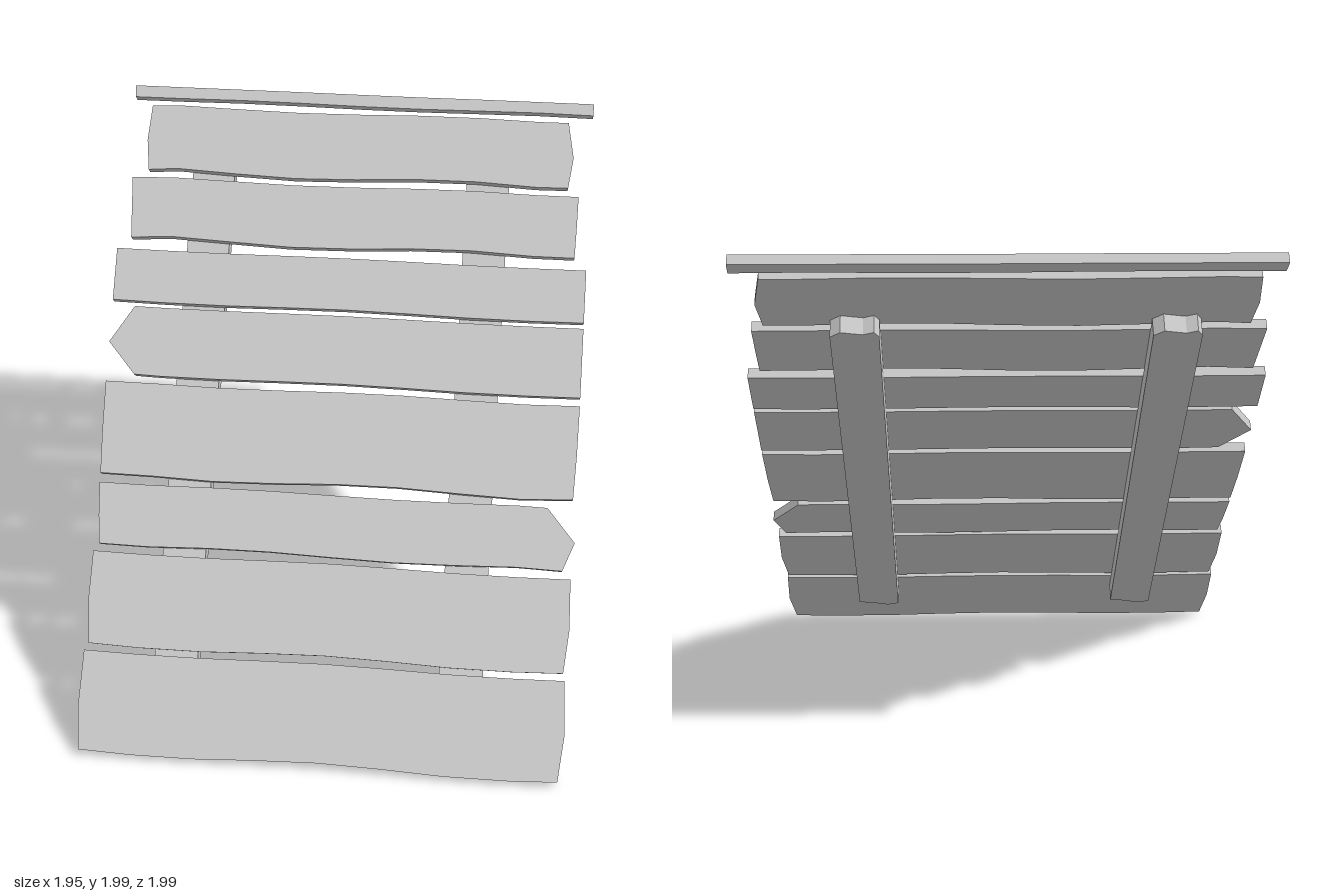
import * as THREE from 'three';

const SLOPE = Math.SQRT2; // heights become lengths along the 45 degree slope

// Each plank: bottom and top height, then x of the left and right ends
// at low, middle and high, then size and x position of the crest of its wavy edge
const PLANKS = [
  { span: [0.042, 0.322], left: [-0.96, -0.975, -0.97], right: [0.95, 0.97, 0.96], wave: [0.007, 0] },
  { span: [0.342, 0.606], left: [-0.955, -0.97, -0.967], right: [0.953, 0.97, 0.965], wave: [0.006, 0] },
  { span: [0.628, 0.805], left: [-0.945, -0.957, -0.965], right: [0.93, 0.975, 0.86], wave: [0.005, 0.9] },
  { span: [0.832, 1.102], left: [-0.965, -0.972, -0.975], right: [0.96, 0.967, 0.97], wave: [0.007, 0.15] },
  { span: [1.126, 1.328], left: [-0.86, -0.975, -0.88], right: [0.97, 0.97, 0.97], wave: [0.003, 0] },
  { span: [1.345, 1.5], left: [-0.975, -0.975, -0.975], right: [0.97, 0.97, 0.97], wave: [0.003, 0] },
  { span: [1.535, 1.718], left: [-0.92, -0.927, -0.935], right: [0.92, 0.923, 0.925], wave: [0.008, 0.43] },
  { span: [1.743, 1.94], left: [-0.87, -0.885, -0.875], right: [0.88, 0.897, 0.87], wave: [0.008, 0.4] },
  { span: [1.965, 2], left: [-0.95, -0.953, -0.955], right: [0.97, 0.97, 0.97], wave: [0.002, 0.8] },
];

function board(points, depth, name, material) {
  const shape = new THREE.Shape(points.map(([x, h]) => new THREE.Vector2(x, h * SLOPE)));
  const mesh = new THREE.Mesh(new THREE.ExtrudeGeometry(shape, { depth, bevelEnabled: false }), material);
  mesh.name = name;
  return mesh;
}

// Counter-clockwise outline with wavy long edges and shaped ends
function plankOutline({ span: [bottom, top], left, right, wave: [size, crest] }) {
  const bump = (x) => size * Math.cos(5 * (x - crest));
  const low = [];
  const high = [];
  for (let x = -0.75; x < 0.8; x += 0.25) {
    low.push([x, bottom + bump(x)]);
    high.unshift([x, Math.min(2, top + bump(x) / 2)]);
  }
  const middle = bottom + (top - bottom) * 0.46;
  return [
    [left[0], bottom], ...low, [right[0], bottom],
    [right[1], middle],
    [right[2], top], ...high, [left[2], top],
    [left[1], middle],
  ];
}

export function createModel() {
  const model = new THREE.Group();
  model.name = 'plankPanel';
  const wood = new THREE.MeshStandardMaterial({ color: 0xc8c8c8 });
  wood.name = 'pale grey';

  // Everything lies on a plane leaning back at 45 degrees
  const panel = new THREE.Group();
  panel.name = 'leaningPanel';
  panel.rotation.x = -Math.PI / 4;
  panel.position.set(0, -0.03, 1);
  model.add(panel);

  // Rough-cut cross planks
  PLANKS.forEach((plank, i) => panel.add(board(plankOutline(plank), 0.042, `plank${i + 1}`, wood)));

  // Two support rails beneath, with slightly uneven ends
  const railDepth = 0.073;
  for (const [name, x] of [['leftRail', 0.55], ['rightRail', -0.6]]) {
    const rail = board([
      [x - 0.088, 0.235], [x - 0.04, 0.225], [x + 0.03, 0.24], [x + 0.088, 0.245],
      [x + 0.088, 1.765], [x + 0.05, 1.785], [x - 0.03, 1.775], [x - 0.07, 1.785], [x - 0.088, 1.765],
    ], railDepth, name, wood);
    rail.position.z = -railDepth;
    panel.add(rail);
  }
  return model;
}
